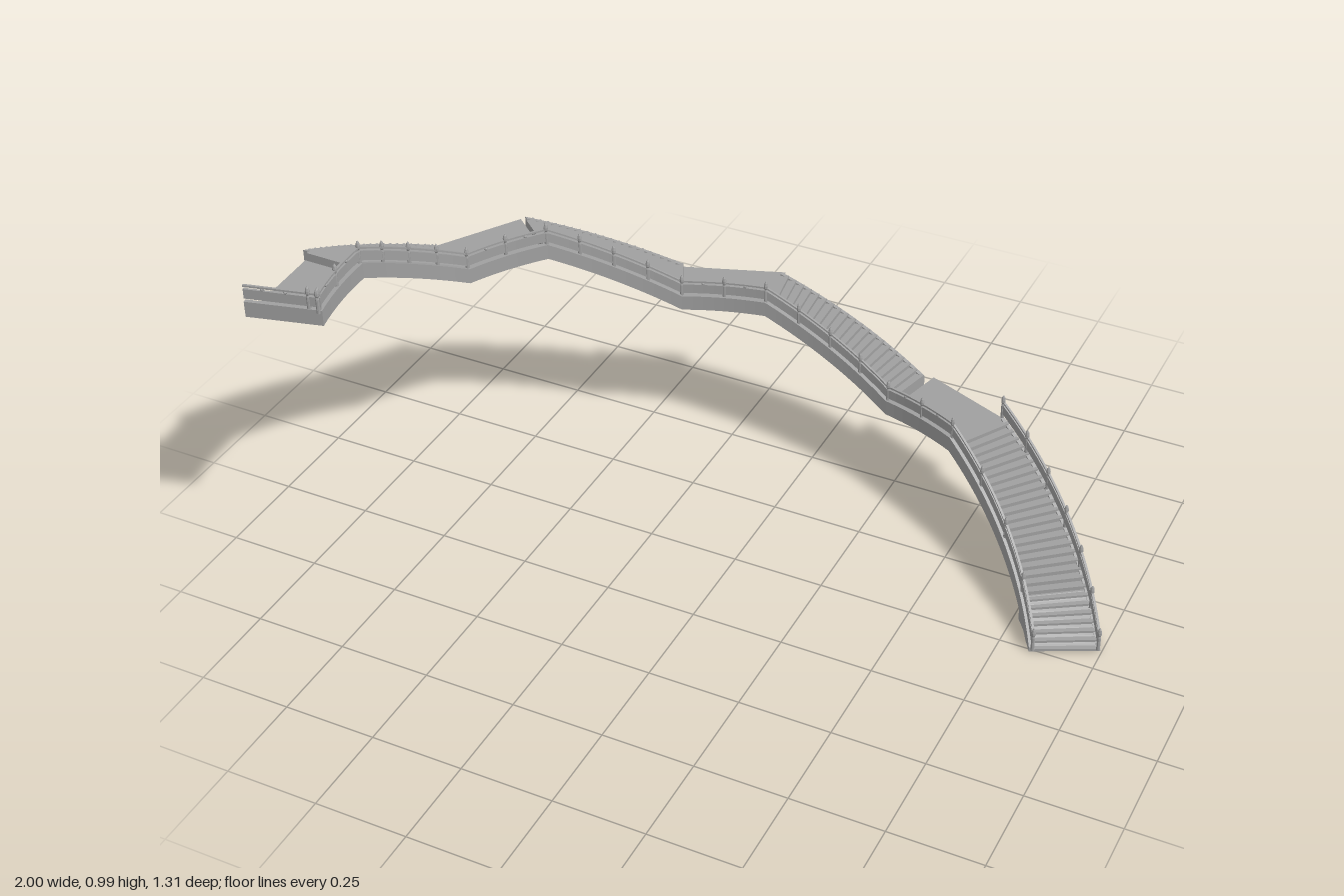
import * as THREE from 'three';
import { mergeGeometries } from 'three/addons/utils/BufferGeometryUtils.js';

const mat = new THREE.MeshStandardMaterial({ color: 0xa0a0a0, flatShading: true });
const lerp = THREE.MathUtils.lerp;
const CX = 0.03, CZ = 0.4; // centre of the curve

// Sections from foot to top: angles, underside heights, inner and outer radii.
const sections = [
  { kind: 'flight', a: [26, 60.3], y: [-0.03, 0.274], ri: [0.895, 0.864], ro: [1.072, 1.045], steps: 28, outerRail: true },
  { kind: 'landing', a: [60.3, 75.6], y: [0.274, 0.274], ri: [0.864, 0.857], ro: [1.073, 1.073] },
  { kind: 'flight', a: [75.6, 100.3], y: [0.274, 0.477], ri: [0.857, 0.857], ro: [1.026, 1.028], steps: 20 },
  { kind: 'landing', a: [100.3, 115.5], y: [0.477, 0.477], ri: [0.857, 0.858], ro: [1.075, 1.066] },
  { kind: 'flight', a: [115.5, 139.5], y: [0.477, 0.685], ri: [0.858, 0.859], ro: [1.033, 1.028], steps: 20 },
  { kind: 'landing', a: [139.5, 154.8], y: [0.685, 0.685], ri: [0.859, 0.86], ro: [1.07, 1.066] },
  { kind: 'flight', a: [154.8, 179.2], y: [0.685, 0.884], ri: [0.86, 0.858], ro: [1.03, 1.028], steps: 20 },
  { kind: 'landing', a: [179.2, 194.1], y: [0.884, 0.884], ri: [0.858, 0.856], ro: [1.028, 1.05] },
];

const polar = (deg, r) => {
  const a = THREE.MathUtils.degToRad(deg);
  return [CX + r * Math.cos(a), CZ - r * Math.sin(a)];
};

// Plan position along a curved edge, and along a straight one.
const arcEdge = (s, side) => (t, off = 0) => polar(lerp(...s.a, t), lerp(...s[side], t) + off);
const chordEdge = (s, side) => t => {
  const p = polar(s.a[0], s[side][0]), q = polar(s.a[1], s[side][1]);
  return [lerp(p[0], q[0], t), lerp(p[1], q[1], t)];
};

// Four-cornered section swept from t0 to t1, with end caps.
function sweep(corners, n, t0 = 0, t1 = 1) {
  const pos = [];
  const quad = (a, b, c, d) => pos.push(...a, ...b, ...c, ...a, ...c, ...d);
  let prev = corners(t0);
  quad(...prev);
  for (let i = 1; i <= n; i++) {
    const next = corners(lerp(t0, t1, i / n));
    for (let k = 0; k < 4; k++) {
      const m = (k + 1) % 4;
      quad(prev[k], next[k], next[m], prev[m]);
    }
    prev = next;
  }
  quad(prev[3], prev[2], prev[1], prev[0]);
  const g = new THREE.BufferGeometry();
  g.setAttribute('position', new THREE.Float32BufferAttribute(pos, 3));
  g.computeVertexNormals();
  return g;
}

// Solid between two edges and two heights.
function between(e0, e1, low, high, n, t0, t1) {
  return sweep(t => {
    const [x0, z0] = e0(t), [x1, z1] = e1(t);
    return [[x0, low(t), z0], [x1, low(t), z1], [x1, high(t), z1], [x0, high(t), z0]];
  }, n, t0, t1);
}
const band = (edge, o0, o1, low, high, n) =>
  between(t => edge(t, o0), t => edge(t, o1), low, high, n);

function add(parent, name, geo) {
  const m = new THREE.Mesh(geo, mat);
  m.name = name;
  parent.add(m);
  return m;
}

const postProfile = [[0, 0.035], [0.005, 0.035], [0.005, 0.075], [0.0035, 0.08], [0.006, 0.085],
  [0.006, 0.092], [0.004, 0.1], [0, 0.107]].map(p => new THREE.Vector2(...p));
const postGeo = new THREE.LatheGeometry(postProfile, 8);
const knobGeo = new THREE.SphereGeometry(0.005, 8, 6);
const spaced = bays => Array.from({ length: bays + 1 }, (_, i) => i / bays);

// Low panel, thin handrail, posts and small knobs under the rail.
function railing(edge, base, n, posts, knobs) {
  const g = new THREE.Group();
  g.name = 'railing';
  const up = h => t => base(t) + h;
  add(g, 'panel', band(edge, 0.003, 0.009, up(0.05), up(0.077), n));
  add(g, 'handrail', band(edge, 0.003, 0.009, up(0.083), up(0.088), n));
  const place = (name, geo, t, h) => {
    const [x, z] = edge(t, 0.006);
    add(g, name, geo).position.set(x, base(t) + h, z);
  };
  posts.forEach(t => place('post', postGeo, t, 0));
  knobs.forEach(t => place('knob', knobGeo, t, 0.08));
  return g;
}

export function createModel() {
  const model = new THREE.Group();
  model.name = 'curvedStaircase';
  for (const s of sections) {
    const g = new THREE.Group();
    g.name = s.kind;
    model.add(g);
    const flight = s.kind === 'flight', n = flight ? 24 : 8;
    const inner = arcEdge(s, 'ri'), outer = arcEdge(s, 'ro');
    const line = t => lerp(...s.y, t), low = t => Math.max(0, line(t));

    if (flight) {
      // Wedge steps sharing one smooth underside
      const steps = [];
      for (let i = 0; i < s.steps; i++) {
        const t0 = i / s.steps, t1 = (i + 1) / s.steps;
        steps.push(between(inner, outer, low, () => line(t1) + 0.026, 1, t0, t1));
      }
      add(g, 'steps', mergeGeometries(steps));
      add(g, 'outerStringer', band(outer, -0.008, 0.003, low, t => line(t) + 0.032, n));
    } else {
      // Thin deck level with the underside, straight on its outer edge
      add(g, 'deck', between(inner, chordEdge(s, 'ro'), line, t => line(t) + 0.003, n));
    }
    add(g, 'innerStringer', band(inner, -0.003, 0.01, low, t => line(t) + 0.043, n));
    g.add(railing(inner, line, n, spaced(flight ? 4 : 2), flight ? [] : [0.25, 0.75]));

    if (s.outerRail) {
      g.add(railing((t, o) => outer(t, o - 0.01), line, n, spaced(6), []));
      // Foot carrying the first steps down to the ground
      add(g, 'foot', between(inner, outer, () => 0, t => line(t) + 0.03, 8, 0, 0.24));
    }
  }

  // Rail across the end of the top landing
  const top = sections[sections.length - 1], y = top.y[1];
  const across = (t, off) => polar(top.a[1] - off * 60, lerp(top.ri[1], top.ro[1], t));
  const end = railing(across, () => y, 1, [0.03, 0.16], [0.45, 0.75]);
  end.name = 'endRailing';
  add(end, 'endFascia', band(across, 0, 0.01, () => y, () => y + 0.043, 1));
  model.add(end);
  return model;
}
